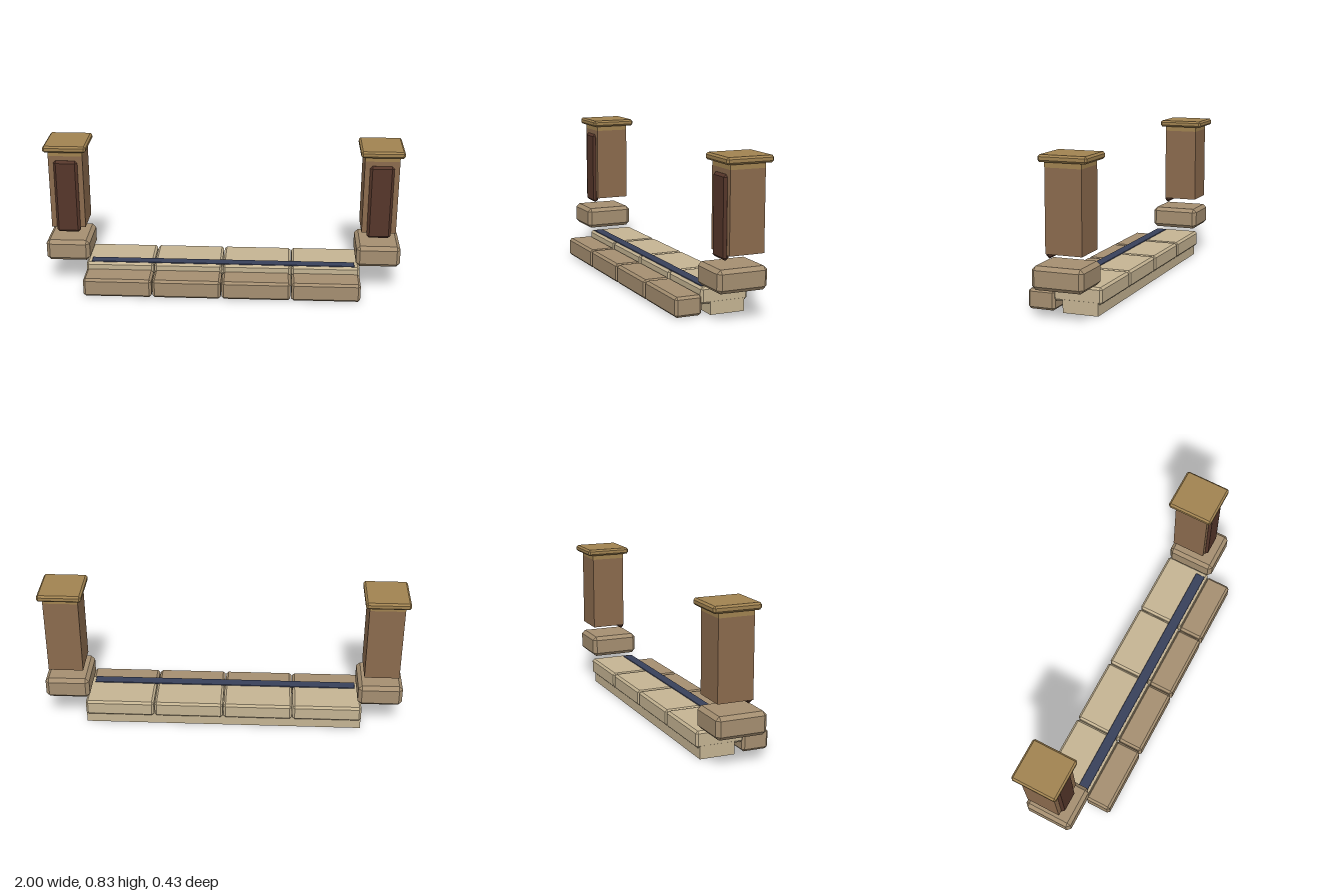
import * as THREE from 'three';
import { ConvexGeometry } from 'three/addons/geometries/ConvexGeometry.js';

const mat = (name, color) => {
  const m = new THREE.MeshStandardMaterial({ color });
  m.name = name;
  return m;
};

// Box between two corners; a bevel chamfers all of its edges
function block(name, material, [x0, x1], [y0, y1], [z0, z1], bevel = 0) {
  const h = [(x1 - x0) / 2, (y1 - y0) / 2, (z1 - z0) / 2];
  let geometry;
  if (bevel) {
    const points = [];
    for (const sx of [-1, 1]) for (const sy of [-1, 1]) for (const sz of [-1, 1])
      for (let full = 0; full < 3; full++) {
        const p = h.map((v, i) => (i === full ? v : v - bevel));
        points.push(new THREE.Vector3(sx * p[0], sy * p[1], sz * p[2]));
      }
    geometry = new ConvexGeometry(points);
  } else {
    geometry = new THREE.BoxGeometry(h[0] * 2, h[1] * 2, h[2] * 2);
  }
  const mesh = new THREE.Mesh(geometry, material);
  mesh.name = name;
  mesh.position.set((x0 + x1) / 2, (y0 + y1) / 2, (z0 + z1) / 2);
  return mesh;
}

export function createModel() {
  const paleStone = mat('pale stone', 0xc4b392);
  const stone = mat('stone', 0xa48e70);
  const wood = mat('wood', 0x8a6a4d);
  const darkWood = mat('dark wood', 0x55362a);
  const brass = mat('brass', 0xa08250);
  const blue = mat('blue inlay', 0x38405a);
  const model = new THREE.Group();
  model.name = 'gateThreshold';

  // Footing under the upper slabs
  model.add(block('footing', paleStone, [-0.777, 0.777], [0, 0.07], [-0.177, 0.017]));

  // Two rows of four slabs, upper row behind the lower step
  const pitch = 0.39, half = 0.1925;
  for (let i = 0; i < 4; i++) {
    const x = (i - 1.5) * pitch;
    const span = [x - half, x + half];
    model.add(block('upperSlab', paleStone, span, [0.058, 0.148], [-0.197, 0.07], 0.012));
    model.add(block('stepSlab', stone, span, [0.003, 0.11], [0.063, 0.213], 0.013));
  }

  // Inlaid strip along the upper slabs
  model.add(block('inlayStrip', blue, [-0.748, 0.748], [0.145, 0.152], [0, 0.058], 0.002));

  // Mirrored posts, each over a plinth
  for (const [side, name] of [[-1, 'rightPost'], [1, 'leftPost']]) {
    const post = new THREE.Group();
    post.name = name;
    post.position.x = side * 0.876;
    post.add(
      block('plinth', stone, [-0.123, 0.123], [0.163, 0.285], [-0.19, 0.088], 0.02),
      block('shaft', wood, [-0.096, 0.096], [0.345, 0.77], [-0.177, 0.017]),
      block('neckBand', brass, [-0.096, 0.096], [0.77, 0.8], [-0.177, 0.017]),
      block('frontPanel', darkWood, [-0.067, 0.067], [0.316, 0.744], [0, 0.031], 0.0135),
      block('cap', brass, [-0.12, 0.12], [0.797, 0.834], [-0.213, 0.046], 0.01),
    );
    model.add(post);
  }
  return model;
}
